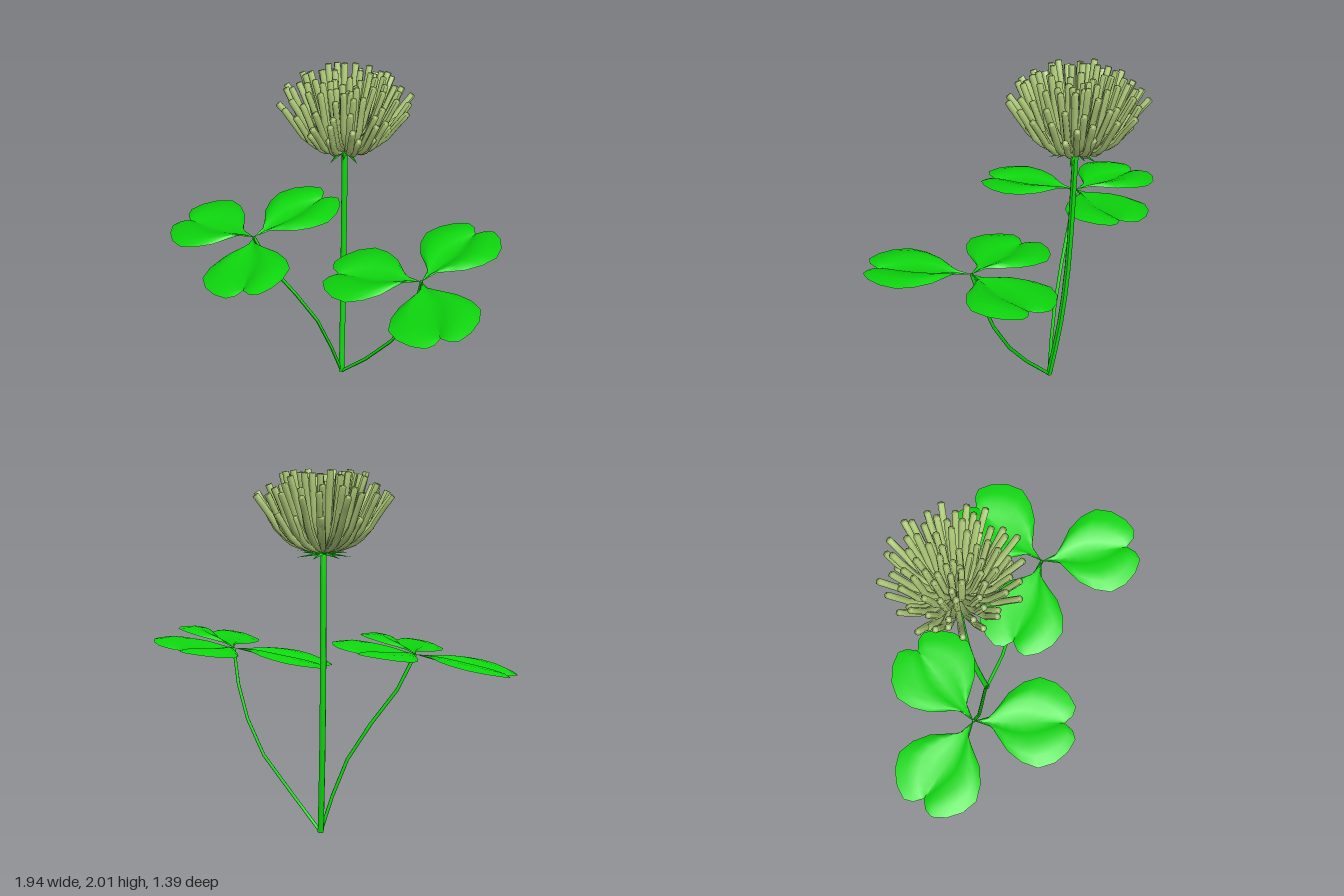
import * as THREE from 'three';

const GREEN = new THREE.MeshStandardMaterial({ color: 0x0ed80e, side: THREE.DoubleSide });
const PETAL = new THREE.MeshStandardMaterial({ color: 0xb0cc7a });
const V = (x, y, z) => new THREE.Vector3(x, y, z);

function add(parent, name, geometry, material) {
  const mesh = new THREE.Mesh(geometry, material);
  mesh.name = name;
  parent.add(mesh);
  return mesh;
}

// Tube along points with a radius rule; the last ring closes the end flat
function taperedTube(points, segments, radius, sides) {
  const curve = new THREE.CatmullRomCurve3(points);
  const geo = new THREE.TubeGeometry(curve, segments + 1, 1, sides);
  const { normals, binormals } = curve.computeFrenetFrames(segments + 1, false);
  const pos = geo.attributes.position;
  for (let i = 0; i <= segments + 1; i++) {
    const t = Math.min(i / segments, 1);
    const centre = curve.getPoint(t);
    const r = i > segments ? 0 : radius(t);
    for (let j = 0; j <= sides; j++) {
      const a = (j / sides) * Math.PI * 2;
      const p = centre.clone()
        .addScaledVector(normals[i], -Math.cos(a) * r)
        .addScaledVector(binormals[i], Math.sin(a) * r);
      pos.setXYZ(i * (sides + 1) + j, p.x, p.y, p.z);
    }
  }
  geo.computeVertexNormals();
  return geo;
}

// Heart-shaped leaflet pointing along +x: strips from the midrib out to each edge
function leafletGeometry() {
  const outline = [[0, 0], [0.1, 0.03], [0.14, 0.09], [0.19, 0.16], [0.27, 0.22], [0.36, 0.25],
    [0.45, 0.22], [0.52, 0.16], [0.56, 0.09], [0.545, 0.04], [0.5, 0]];
  const n = outline.length - 1, m = 4, pos = [], index = [];
  outline.forEach(([l, w], i) => {
    const s = i / n;
    for (let j = -m; j <= m; j++) {
      const v = Math.abs(j) / m;
      const x = THREE.MathUtils.lerp(0.5 * s, l, v);
      // lobes swell up on both sides of the sunken midrib
      const y = Math.sin(Math.PI * s) * (0.045 * Math.sin(Math.PI * v * 0.85) - 0.008);
      pos.push(x, y, Math.sign(j) * w * v);
    }
  });
  const row = 2 * m + 1;
  for (let i = 0; i < n; i++) {
    for (let j = 0; j < 2 * m; j++) {
      const a = i * row + j, b = a + row;
      index.push(a, a + 1, b, a + 1, b + 1, b);
    }
  }
  const geo = new THREE.BufferGeometry();
  geo.setAttribute('position', new THREE.Float32BufferAttribute(pos, 3));
  geo.setIndex(index);
  geo.computeVertexNormals();
  return geo;
}

export function createModel() {
  const model = new THREE.Group();
  model.name = 'cloverPlant';

  // Flower stem
  add(model, 'flowerStem', taperedTube(
    [V(0.08, 0, -0.21), V(0.08, 0.4, -0.27), V(0.08, 0.8, -0.305), V(0.08, 1.2, -0.32), V(0.08, 1.59, -0.33)],
    8, () => 0.017, 8), GREEN);

  // Two three-part leaves on bent stalks
  const leaflet = leafletGeometry();
  const leaves = [
    { stalk: [V(0.08, 0, -0.21), V(0.015, 0.2, -0.205), V(-0.07, 0.41, -0.205), V(-0.2, 0.61, -0.21),
      V(-0.345, 0.8, -0.22), V(-0.44, 1, -0.24)], angles: [90, 211, 320] },
    { stalk: [V(0.08, 0, -0.21), V(0.23, 0.2, -0.11), V(0.38, 0.41, -0.045), V(0.465, 0.61, 0.02),
      V(0.51, 0.8, 0.07), V(0.53, 1, 0.12)], angles: [79, 198, 309] },
  ];
  leaves.forEach(({ stalk, angles }, k) => {
    const side = k ? 'left' : 'right';
    add(model, side + 'LeafStalk', taperedTube(stalk, 5, () => 0.01, 6), GREEN);
    const leaf = new THREE.Group();
    leaf.name = side + 'Leaf';
    leaf.position.copy(stalk[5]);
    leaf.rotation.z = 0.185;
    for (const a of angles) add(leaf, 'leaflet', leaflet, GREEN).rotation.y = -THREE.MathUtils.degToRad(a);
    model.add(leaf);
  });

  // Flower head
  const head = new THREE.Group();
  head.name = 'flowerHead';
  head.position.set(0.08, 1.57, -0.33);
  model.add(head);

  // Rings of florets: count, tip radius, tip height, outward belly at the bend
  const rings = [
    [14, 0.28, 0.2, 0.19],
    [20, 0.35, 0.31, 0.23],
    [18, 0.29, 0.35, 0.19],
    [16, 0.22, 0.41, 0.15],
    [12, 0.15, 0.42, 0.1],
    [7, 0.08, 0.39, 0.06],
    [3, 0.03, 0.36, 0.02],
  ];
  rings.forEach(([count, r, h, belly], k) => {
    for (let i = 0; i < count; i++) {
      const wobble = Math.sin(i * 2.4 + k * 1.7);
      const tip = r + 0.018 * wobble, top = h - 0.012 * Math.cos(i * 3.7 + k);
      const floret = add(head, 'floret', taperedTube(
        [V(0.01, 0.005, 0), V(belly * 0.5, 0.12 * h, 0), V(belly, 0.36 * h, 0),
          V((belly + tip) / 2, 0.68 * h, 0), V(tip, top, 0)],
        7, t => 0.007 + 0.011 * Math.min(1, t * 2.2), 7), PETAL);
      floret.rotation.y = ((i + 0.5 * (k % 2) + 0.15 * wobble) / count) * Math.PI * 2;
    }
  });

  // Pointed bracts below the flower
  for (let i = 0; i < 12; i++) {
    const geo = new THREE.ConeGeometry(0.024, 0.15, 4);
    geo.rotateZ(-Math.PI / 2);
    geo.scale(1, 0.35, 1);
    geo.translate(0.075, 0, 0);
    const bract = add(head, 'bract', geo, GREEN);
    bract.rotation.set(0, (i / 12) * Math.PI * 2, i % 2 ? 0.06 : -0.16);
  }
  return model;
}
